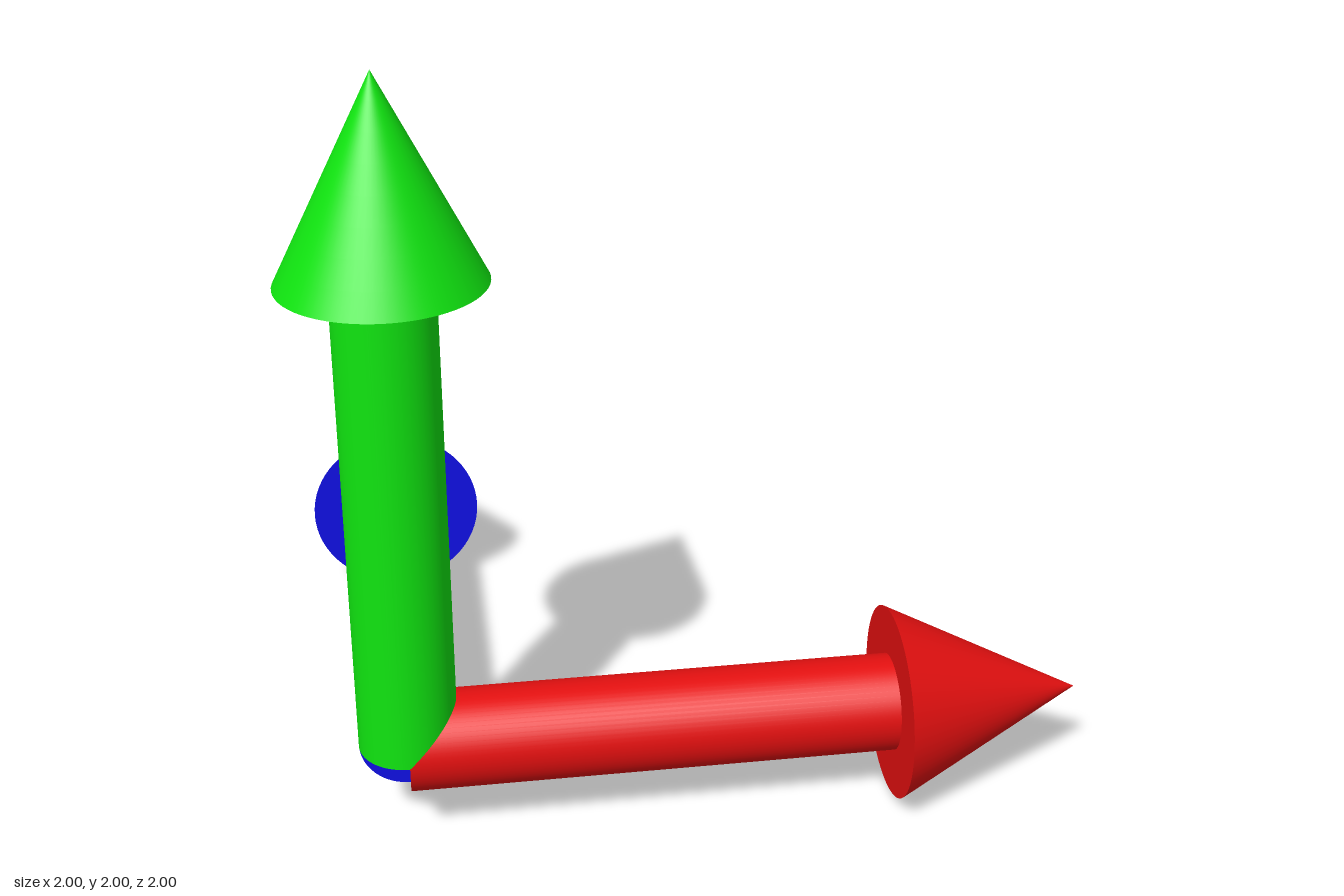
import * as THREE from 'three';

const SHAFT_LENGTH = 1.25, SHAFT_RADIUS = 0.125;
const HEAD_LENGTH = 0.5, HEAD_RADIUS = 0.25;
const SIDES = 64;

function makeMaterial(name, color) {
  const material = new THREE.MeshStandardMaterial({ color });
  material.name = name;
  return material;
}

// One arrow pointing up from its own origin: a capped shaft and a cone head
function makeArrow(name, material) {
  const arrow = new THREE.Group();
  arrow.name = name;

  const shaft = new THREE.Mesh(
    new THREE.CylinderGeometry(SHAFT_RADIUS, SHAFT_RADIUS, SHAFT_LENGTH, SIDES), material);
  shaft.name = name + 'Shaft';
  shaft.position.y = SHAFT_LENGTH / 2;

  const head = new THREE.Mesh(
    new THREE.ConeGeometry(HEAD_RADIUS, HEAD_LENGTH, SIDES, 8), material);
  head.name = name + 'Head';
  head.position.y = SHAFT_LENGTH + HEAD_LENGTH / 2;

  arrow.add(shaft, head);
  return arrow;
}

export function createModel() {
  const model = new THREE.Group();
  model.name = 'axisArrows';

  // Upright arrow
  const up = makeArrow('upArrow', makeMaterial('green', 0x10e510));

  // Sideways arrow, towards +x
  const side = makeArrow('sideArrow', makeMaterial('red', 0xe51010));
  side.rotation.z = -Math.PI / 2;

  // Backward arrow, towards -z
  const back = makeArrow('backArrow', makeMaterial('blue', 0x1010e5));
  back.rotation.x = -Math.PI / 2;

  // All three meet at one corner
  for (const arrow of [up, side, back]) {
    arrow.position.set(-0.75, 0.25, 0.75);
    model.add(arrow);
  }
  return model;
}
